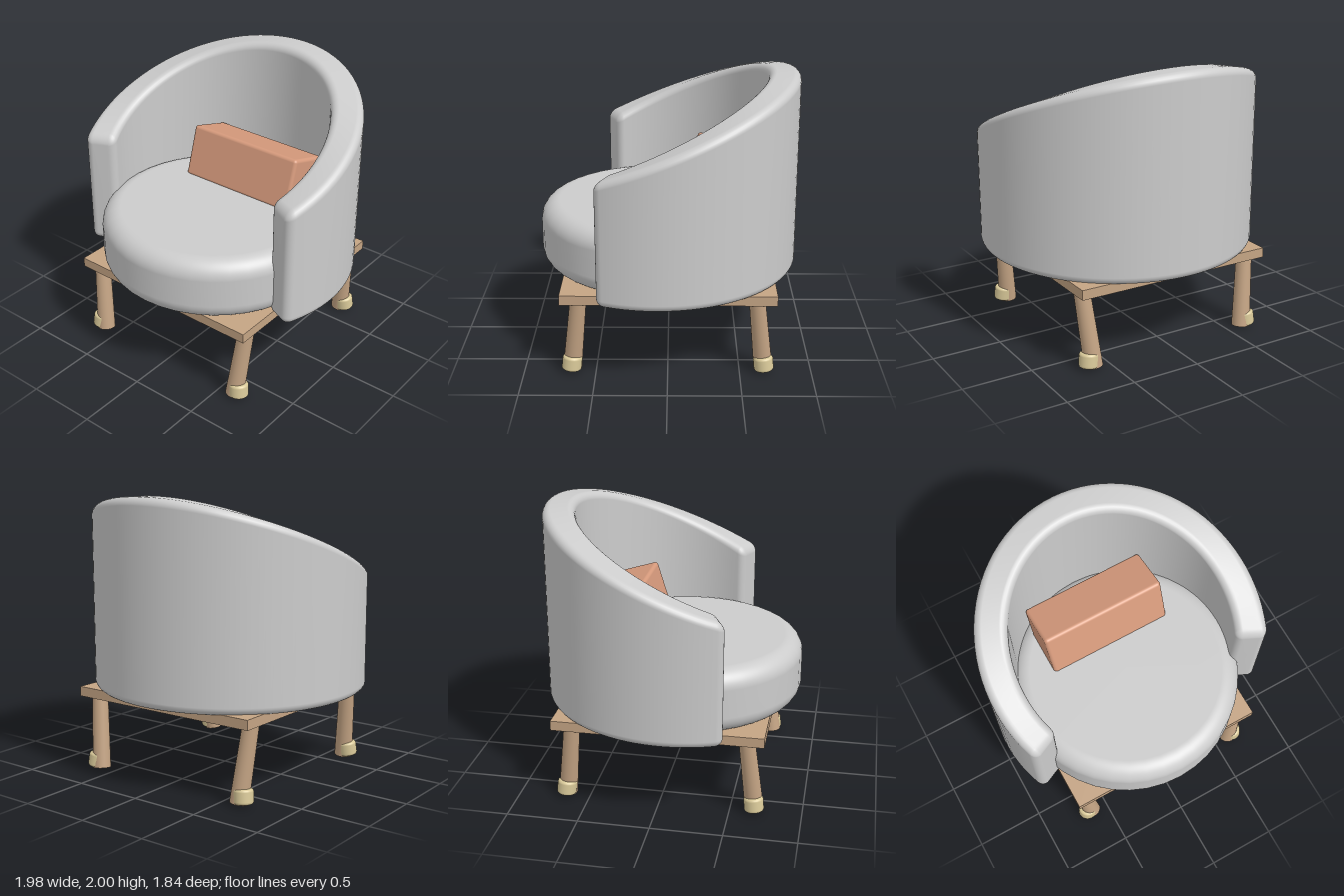
import * as THREE from 'three';
import { RoundedBoxGeometry } from 'three/addons/geometries/RoundedBoxGeometry.js';

const fabric = new THREE.MeshStandardMaterial({ color: 0xcccccc });
const wood = new THREE.MeshStandardMaterial({ color: 0xc4a484 });
const terracotta = new THREE.MeshStandardMaterial({ color: 0xd69a7c });
const brass = new THREE.MeshStandardMaterial({ color: 0xd8c898 });

function add(parent, name, geometry, material, x = 0, y = 0, z = 0) {
  const mesh = new THREE.Mesh(geometry, material);
  mesh.name = name;
  mesh.position.set(x, y, z);
  parent.add(mesh);
  return mesh;
}

// Curved backrest: rounded rectangle swept round an arc, its top rising to the back
function shellGeometry() {
  const inner = 0.765, outer = 0.99, bottom = 0.6, fillet = 0.055;
  const from = THREE.MathUtils.degToRad(-25), to = Math.PI - from;
  const steps = 56, capSteps = 6, cornerSteps = 6;
  const topAt = (a) => 1.62 + 0.38 * Math.sin(a);

  // Stations along the arc, with the section shrinking to round off both ends
  const startCap = [], endCap = [], stations = [];
  for (let k = 0; k < capSteps; k++) {
    const t = (k / capSteps) * Math.PI / 2;
    const inset = fillet * (1 - Math.sin(t));
    const shift = fillet * (1 - Math.cos(t)) / 0.88;
    startCap.push([from + shift, inset]);
    endCap.unshift([to - shift, inset]);
  }
  const a0 = from + fillet / 0.88, a1 = to - fillet / 0.88;
  for (let i = 0; i <= steps; i++) stations.push([a0 + (a1 - a0) * i / steps, 0]);
  const all = [...startCap, ...stations, ...endCap];

  const positions = [], index = [];
  const push = (r, y, a) => positions.push(r * Math.cos(a), y, 0.07 - r * Math.sin(a));
  for (const [a, inset] of all) {
    const c = Math.max(fillet - inset, 0.004);
    const r0 = inner + inset + c, r1 = outer - inset - c;
    const y0 = bottom + inset + c, y1 = topAt(a) - inset - c;
    [[r1, y0], [r1, y1], [r0, y1], [r0, y0]].forEach(([r, y], q) => {
      for (let s = 0; s <= cornerSteps; s++) {
        const t = (q - 1 + s / cornerSteps) * Math.PI / 2;
        push(r + c * Math.cos(t), y + c * Math.sin(t), a);
      }
    });
  }
  const n = 4 * (cornerSteps + 1), last = all.length - 1;
  for (let i = 0; i < last; i++) {
    for (let j = 0; j < n; j++) {
      const k = (j + 1) % n;
      const a = i * n + j, b = (i + 1) * n + j, c = (i + 1) * n + k, d = i * n + k;
      index.push(a, b, c, a, c, d);
    }
  }
  // Flat arm ends
  const centre = all.length * n, mid = (inner + outer) / 2;
  push(mid, (bottom + topAt(from)) / 2, from);
  push(mid, (bottom + topAt(to)) / 2, to);
  for (let j = 0; j < n; j++) {
    const k = (j + 1) % n;
    index.push(centre, j, k, centre + 1, last * n + k, last * n + j);
  }
  const g = new THREE.BufferGeometry();
  g.setAttribute('position', new THREE.Float32BufferAttribute(positions, 3));
  g.setIndex(index);
  g.computeVertexNormals();
  return g;
}

// Round disc with filleted rims, centred on its height
function roundedDisc(radius, height, fillet, segments) {
  const h = height / 2, r = radius - fillet, path = new THREE.Path();
  path.moveTo(0, -h);
  path.lineTo(r, -h);
  path.absarc(r, -h + fillet, fillet, -Math.PI / 2, 0, false);
  path.lineTo(radius, h - fillet);
  path.absarc(r, h - fillet, fillet, 0, Math.PI / 2, false);
  path.lineTo(0, h);
  return new THREE.LatheGeometry(path.getPoints(8), segments);
}

export function createModel() {
  const chair = new THREE.Group();
  chair.name = 'armchair';

  add(chair, 'backrest', shellGeometry(), fabric);
  add(chair, 'seatCushion', roundedDisc(0.82, 0.46, 0.13, 40), fabric, 0, 0.83, 0.095);
  const pillow = add(chair, 'pillow', new RoundedBoxGeometry(0.92, 0.385, 0.345, 4, 0.025),
    terracotta, 0, 1.183, -0.332);
  pillow.rotation.x = -0.3;
  add(chair, 'basePlate', new THREE.BoxGeometry(1.48, 0.07, 1.48), wood, 0, 0.575, -0.005);

  // Splayed legs, each with a foot cap on its outer side
  const up = new THREE.Vector3(0, 1, 0);
  for (const sx of [1, -1]) {
    for (const sz of [1, -1]) {
      const name = (sz > 0 ? 'front' : 'back') + (sx > 0 ? 'Left' : 'Right');
      const top = new THREE.Vector3(sx * 0.673, 0.555, sz * 0.61);
      const foot = new THREE.Vector3(sx * 0.62, 0.01, sz * 0.668);
      const axis = top.clone().sub(foot);
      const leg = add(chair, name + 'Leg',
        new THREE.CylinderGeometry(0.056, 0.066, axis.length(), 24), wood);
      leg.position.copy(top).add(foot).multiplyScalar(0.5);
      leg.quaternion.setFromUnitVectors(up, axis.normalize());

      const cap = add(chair, name + 'Foot', roundedDisc(0.069, 0.105, 0.02, 24), brass,
        sx * 0.654, 0.063, sz * 0.667);
      cap.quaternion.setFromUnitVectors(up, new THREE.Vector3(-sx * 0.1, 1, -sz * 0.1).normalize());
    }
  }
  return chair;
}
